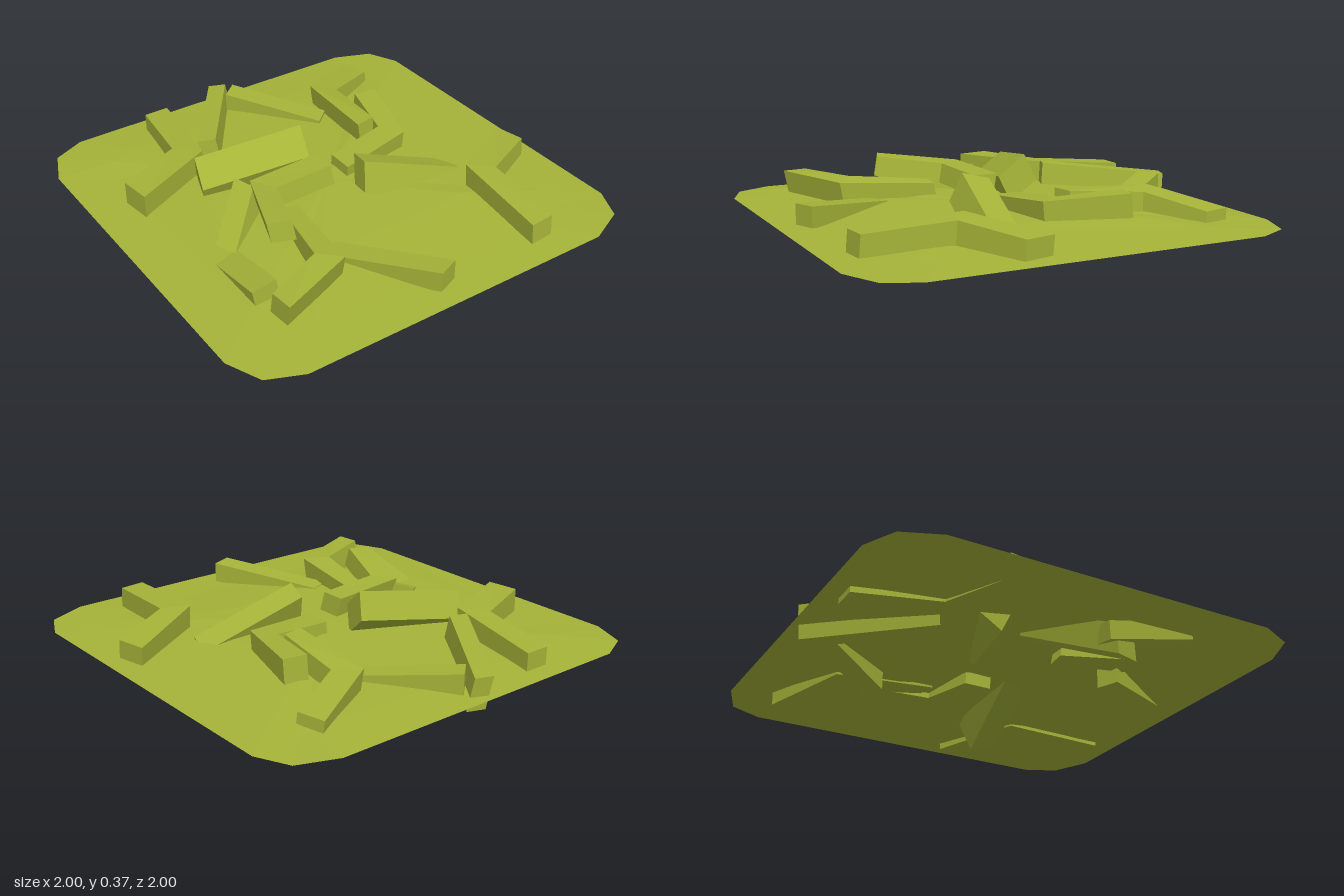
import * as THREE from 'three';

export function createModel() {
  const model = new THREE.Group();
  model.name = 'groundPatch';
  const olive = new THREE.MeshStandardMaterial({ color: 0xa5b338 });
  olive.name = 'olive green';
  olive.side = THREE.DoubleSide;

  function addMesh(name, positions) {
    const geometry = new THREE.BufferGeometry();
    geometry.setAttribute('position', new THREE.Float32BufferAttribute(positions, 3));
    geometry.computeVertexNormals(); // unshared corners give flat facets
    const mesh = new THREE.Mesh(geometry, olive);
    mesh.name = name;
    model.add(mesh);
  }

  // Prism: a top outline of [x, y, z] corners swept along a depth vector
  function addPrism(name, top, depth) {
    const a = top.map((p) => new THREE.Vector3(...p));
    // keep the outline clockwise in x, z so that the top faces up
    if (THREE.ShapeUtils.area(a.map((p) => new THREE.Vector2(p.x, p.z))) > 0) a.reverse();
    const b = a.map((p) => p.clone().add(new THREE.Vector3(...depth)));
    const out = [];
    const tri = (...points) => points.forEach((p) => out.push(p.x, p.y, p.z));
    const flat = a.map((p) => new THREE.Vector2(p.x, -p.z));
    for (const [i, j, k] of THREE.ShapeUtils.triangulateShape(flat, [])) {
      tri(a[i], a[j], a[k]);
      tri(b[i], b[k], b[j]);
    }
    a.forEach((p, i) => {
      const n = (i + 1) % a.length;
      tri(p, b[i], b[n]);
      tri(p, b[n], a[n]);
    });
    addMesh(name, out);
  }

  // Straight block from one corner and two top edges
  function addBlock(name, corner, along, across, depth) {
    const shift = (...vs) => corner.map((c, i) => vs.reduce((s, v) => s + v[i], c));
    addPrism(name, [corner, shift(along), shift(along, across), shift(across)], depth);
  }

  // Thin uneven sheet with cut corners, raised slightly towards the middle
  const rim = [
    [-0.78, -1], [0.75, -1], [0.93, -0.93], [1, -0.78], [1, 0.77], [0.93, 0.92],
    [0.75, 1], [-0.77, 0.99], [-0.93, 0.92], [-1, 0.76], [-1, -0.76], [-0.93, -0.93],
  ];
  const rings = [[1, 0.13], [0.78, 0.148], [0.45, 0.165], [0, 0.17]];
  const sheetPoint = (ring, i) => {
    const [scale, y] = rings[ring];
    const [x, z] = rim[i % rim.length];
    const ripple = ring === 1 || ring === 2 ? 0.01 * Math.sin(x * 4 + z * 7 + ring) : 0;
    return [x * scale, y + ripple, z * scale];
  };
  const sheet = [];
  for (let r = 0; r < rings.length - 1; r++) {
    for (let i = 0; i < rim.length; i++) {
      const a = sheetPoint(r, i), b = sheetPoint(r, i + 1);
      const c = sheetPoint(r + 1, i + 1), d = sheetPoint(r + 1, i);
      sheet.push(...a, ...c, ...b);
      if (r < rings.length - 2) sheet.push(...a, ...d, ...c);
    }
  }
  addMesh('sheet', sheet);

  // Bent bars lying on the sheet
  addPrism('bentBarBackLeft', [
    [-0.46, 0.22, -0.91], [-0.34, 0.22, -0.91], [-0.42, 0.26, -0.41],
    [-0.81, 0.25, -0.24], [-0.83, 0.25, -0.39], [-0.52, 0.25, -0.52],
  ], [0, -0.11, 0]);
  addPrism('bentBarBackRight', [
    [0.34, 0.25, -0.64], [0.69, 0.19, -0.82], [0.72, 0.19, -0.69],
    [0.44, 0.24, -0.55], [0.4, 0.27, -0.19], [0.3, 0.27, -0.17],
  ], [0.01, -0.11, 0.01]);
  addPrism('bentBarMiddleRight', [
    [0.46, 0.27, -0.42], [0.57, 0.27, -0.4], [0.46, 0.25, -0.02],
    [0.09, 0.22, 0.04], [0.09, 0.22, -0.09], [0.39, 0.25, -0.13],
  ], [0, -0.11, -0.01]);
  addPrism('bentBarFrontRight', [
    [0.47, 0.23, 0.87], [0.59, 0.23, 0.86], [0.62, 0.25, 0.46],
    [0.92, 0.22, 0.31], [0.89, 0.22, 0.17], [0.51, 0.26, 0.38],
  ], [0, -0.115, 0.01]);
  addPrism('bentBarFrontLeft', [
    [-0.35, 0.23, 0.16], [-0.27, 0.22, 0.16], [-0.33, 0.25, 0.61],
    [-0.7, 0.26, 0.76], [-0.71, 0.26, 0.65], [-0.43, 0.26, 0.53],
  ], [0, -0.105, -0.02]);
  addPrism('bentBarMiddleLeft', [
    [-0.03, 0.29, -0.05], [-0.03, 0.29, 0.07], [-0.33, 0.3, 0.09],
    [-0.44, 0.34, 0.38], [-0.54, 0.34, 0.34], [-0.4, 0.3, -0.02],
  ], [0.01, -0.09, 0.02]);

  // Straight bars, tilted and partly sunk through the sheet
  addBlock('tiltedBarCentre', [-0.02, 0.37, -0.19], [-0.49, -0.07, -0.13],
    [-0.03, -0.1, 0.12], [0.03, -0.12, -0.05]);
  addBlock('tiltedBarRight', [0.08, 0.33, 0.18], [0.49, -0.17, 0.08],
    [0.03, -0.03, -0.12], [-0.03, -0.13, 0.05]);
  addBlock('tiltedBarLeft', [-0.42, 0.27, -0.12], [-0.3, -0.14, 0.3],
    [0.03, 0, 0.11], [0.03, -0.12, 0.03]);
  addBlock('shortBarLeft', [-0.75, 0.22, 0.56], [0.02, -0.09, -0.42],
    [0.12, 0.01, -0.01], [0.01, -0.08, 0.01]);
  addBlock('straightBarFront', [-0.06, 0.235, 0.91], [-0.28, -0.07, -0.46],
    [0.1, 0, -0.04], [0, -0.095, 0]);
  addBlock('straightBarBack', [-0.06, 0.22, -0.98], [-0.34, 0.04, 0.49],
    [0.08, 0, 0.03], [0.02, -0.15, 0.02]);
  addBlock('straightBarBackInner', [0.04, 0.23, -0.91], [0.3, -0.06, 0.4],
    [-0.08, 0, 0.07], [0, -0.1, 0]);

  return model;
}
